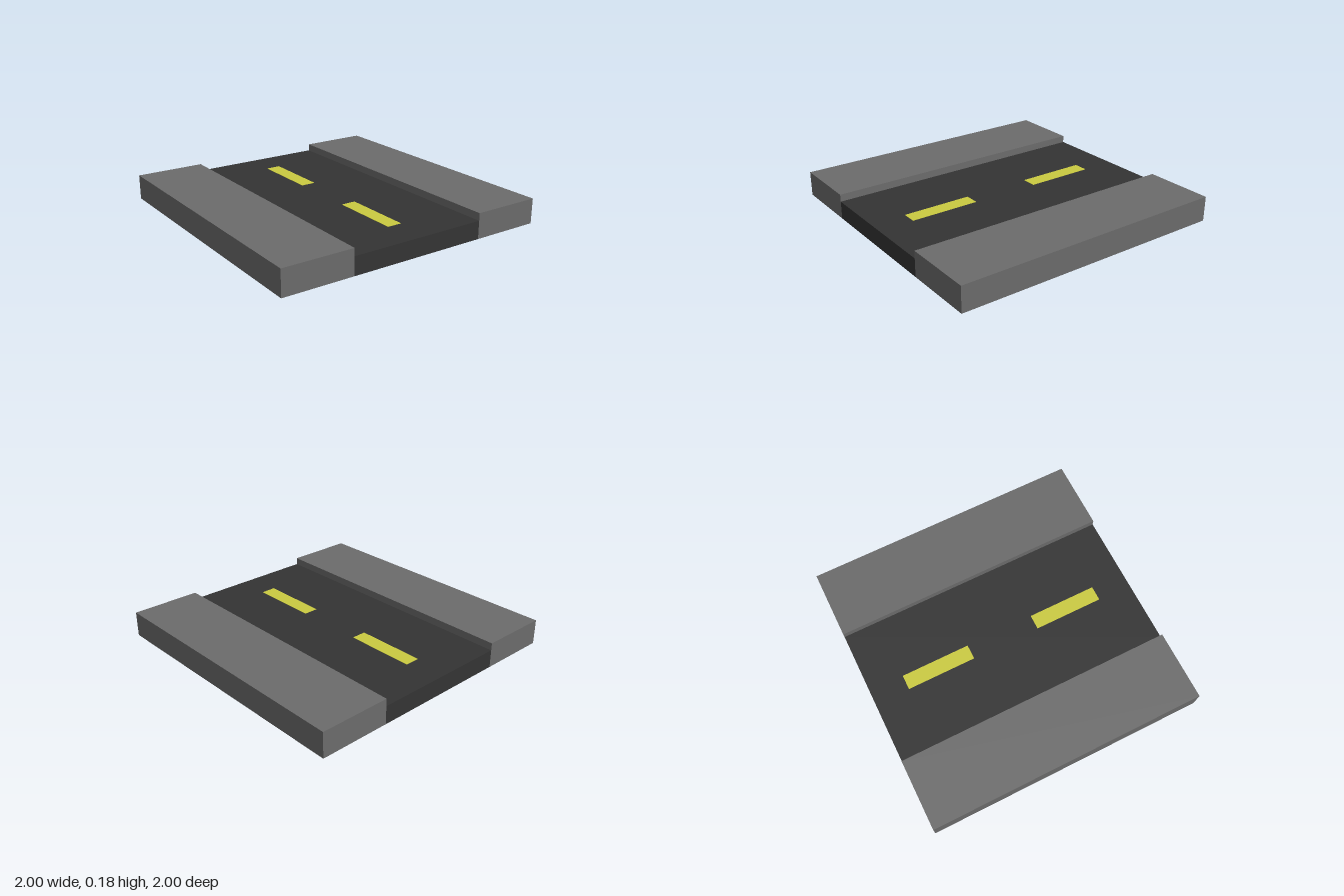
import * as THREE from 'three';

const concrete = new THREE.MeshStandardMaterial({ name: 'concrete grey', color: 0x6b6b6b });
const asphalt = new THREE.MeshStandardMaterial({ name: 'asphalt', color: 0x343434 });
const paint = new THREE.MeshStandardMaterial({ name: 'yellow paint', color: 0xcaca40 });

// Box placed by its bottom centre
function slab(name, material, [w, h, d], [x, y, z]) {
  const geometry = new THREE.BoxGeometry(w, h, d).translate(0, h / 2, 0);
  const mesh = new THREE.Mesh(geometry, material);
  mesh.name = name;
  mesh.position.set(x, y, z);
  return mesh;
}

export function createModel() {
  const model = new THREE.Group();
  model.name = 'roadSection';
  const roadHeight = 0.128;

  // Roadway, with a concrete underside (face order: +x, -x, +y, -y, +z, -z)
  const roadFaces = [asphalt, asphalt, asphalt, concrete, asphalt, asphalt];
  model.add(slab('roadway', roadFaces, [1, roadHeight, 2], [0, 0, 0]));

  for (const side of [1, -1]) {
    // Raised sidewalks along both edges
    const name = side > 0 ? 'leftSidewalk' : 'rightSidewalk';
    model.add(slab(name, concrete, [0.5, 0.18, 2], [side * 0.75, 0, 0]));

    // Centre line dashes
    const dash = side > 0 ? 'frontLaneDash' : 'backLaneDash';
    model.add(slab(dash, paint, [0.106, 0.002, 0.5], [0, roadHeight, side * 0.5]));
  }
  return model;
}
